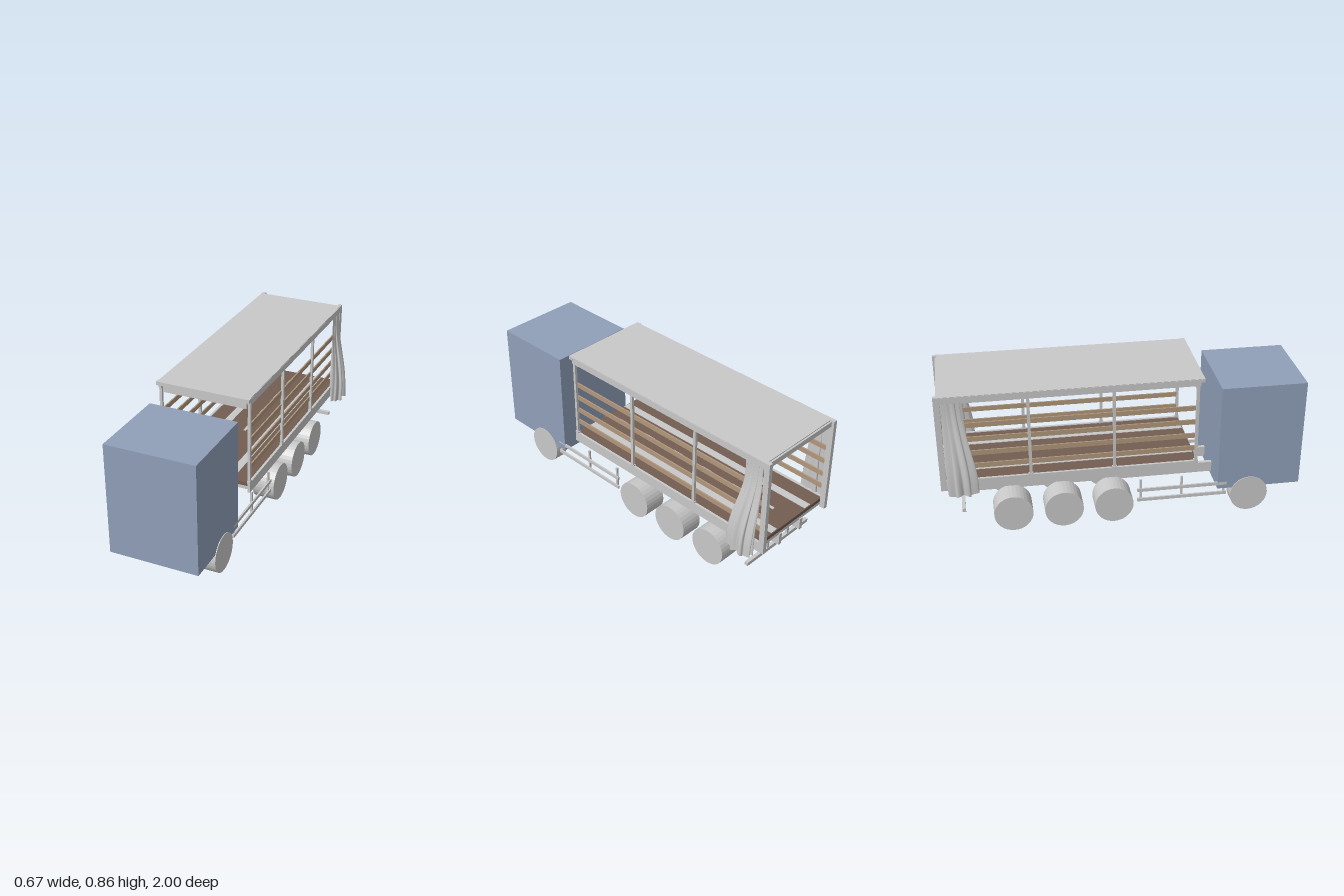
import * as THREE from 'three';

const mat = (name, color) => Object.assign(new THREE.MeshStandardMaterial({ color }), { name });

export function createModel() {
  const truck = new THREE.Group();
  truck.name = 'truck';
  const grey = mat('light grey', 0xc8c8c8);
  const blue = mat('cab blue', 0x8f9fb8);
  const brown = mat('floor brown', 0x735d50);
  const tan = mat('slat tan', 0xb0977c);
  const cloth = mat('curtain grey', 0xc9c9c9);
  cloth.side = THREE.DoubleSide;
  const wheelMat = mat('wheel grey', 0xc8c8c8);
  wheelMat.flatShading = true;

  const CX = -0.01; // centre line of the vehicle
  // Box given by its limits along each axis, x measured from the centre line
  const box = (name, m, x0, x1, y0, y1, z0, z1) => {
    const mesh = new THREE.Mesh(new THREE.BoxGeometry(x1 - x0, y1 - y0, z1 - z0), m);
    mesh.position.set(CX + (x0 + x1) / 2, (y0 + y1) / 2, (z0 + z1) / 2);
    mesh.name = name;
    truck.add(mesh);
    return mesh;
  };
  // The same box on both sides
  const pair = (name, m, x0, x1, ...rest) => {
    box(name + 'Left', m, x0, x1, ...rest);
    box(name + 'Right', m, -x1, -x0, ...rest);
  };

  // Cab
  box('cab', blue, -0.25, 0.25, 0.155, 0.783, 0.527, 1);

  // Wheels: narrow at the front, wide at the rear
  const wheel = (z, inner) => {
    for (const s of [-1, 1]) {
      const geo = new THREE.CylinderGeometry(0.108, 0.108, 0.254 - inner, 32);
      geo.rotateZ(Math.PI / 2);
      const mesh = new THREE.Mesh(geo, wheelMat);
      mesh.position.set(CX + s * (inner + 0.254) / 2, 0.109, z);
      mesh.name = 'wheel';
      truck.add(mesh);
    }
  };
  wheel(0.71, 0.178);
  for (const z of [-0.06, -0.34, -0.62]) wheel(z, 0.125);

  // Chassis rails
  pair('chassisRail', grey, 0.075, 0.096, 0.18, 0.24, -0.87, 0.53);
  pair('chassisUpperRail', grey, 0.075, 0.096, 0.24, 0.31, -0.97, 0.405);

  // Floor, its metal strips and centre dashes
  box('floor', brown, -0.25, 0.25, 0.335, 0.356, -0.97, 0.4);
  pair('floorStrip', grey, 0.115, 0.16, 0.354, 0.359, -0.965, 0.395);
  for (let i = 0; i < 6; i++) {
    const z = -0.85 + i * 0.22;
    box('floorDash', grey, -0.008, 0.008, 0.354, 0.359, z, z + 0.07);
  }

  // Cross beams below the floor and the coaming along its sides
  for (let i = 0; i < 13; i++) {
    const z = -0.955 + i * 0.111;
    box('crossBeam', grey, -0.25, 0.25, 0.305, 0.335, z - 0.008, z + 0.008);
  }
  pair('sideCoaming', grey, 0.25, 0.264, 0.3, 0.36, -0.985, 0.405);

  // Side posts and corner posts
  for (const z of [0.392, -0.06, -0.515]) {
    pair('sidePost', grey, 0.247, 0.262, 0.34, 0.83, z - 0.008, z + 0.008);
    pair('postFoot', grey, 0.247, 0.264, 0.35, 0.367, z - 0.013, z + 0.013);
  }
  pair('rearPost', grey, 0.241, 0.264, 0.3, 0.86, -1, -0.968);

  // Side slats
  for (const y of [0.435, 0.513, 0.597, 0.681])
    pair('sideSlat', tan, 0.243, 0.251, y - 0.014, y + 0.014, -0.97, 0.385);

  // Roof panel, edge rails, headers and the bars below it
  box('roof', grey, -0.262, 0.262, 0.852, 0.86, -0.975, 0.41);
  pair('roofRail', grey, 0.247, 0.264, 0.82, 0.858, -0.975, 0.405);
  box('frontHeader', grey, -0.24, 0.24, 0.793, 0.853, 0.385, 0.4);
  box('frontRoofLip', grey, -0.266, 0.266, 0.84, 0.86, 0.4, 0.426);
  box('rearHeader', grey, -0.245, 0.245, 0.825, 0.855, -0.985, -0.968);
  for (let i = 1; i < 9; i++) {
    const z = -0.97 + i * 0.152;
    box('roofBow', grey, -0.25, 0.25, 0.836, 0.853, z - 0.006, z + 0.006);
  }
  for (const x of [-0.125, 0, 0.125])
    box('roofStringer', grey, x - 0.005, x + 0.005, 0.84, 0.853, -0.97, 0.39);

  // Side guards
  pair('guardUpperRail', grey, 0.24, 0.25, 0.177, 0.196, 0.07, 0.58);
  pair('guardLowerRail', grey, 0.24, 0.25, 0.115, 0.134, 0.07, 0.58);
  for (const z of [0.565, 0.322, 0.09])
    pair('guardPost', grey, 0.232, 0.243, 0.118, z > 0.5 ? 0.19 : 0.25, z - 0.006, z + 0.006);

  // Rear underrun bar on two hangers
  box('rearBar', grey, -0.25, 0.25, 0.147, 0.168, -0.898, -0.878);
  pair('rearBarHanger', grey, 0.075, 0.09, 0.155, 0.26, -0.895, -0.883);

  // Gathered curtains: a folded tube that widens downwards
  const curtain = (name, side, reach) => {
    const rows = 16, cols = 72;
    const geo = new THREE.CylinderGeometry(1, 1, 1, cols, rows, true);
    const p = geo.attributes.position;
    for (let i = 0; i < p.count; i++) {
      const t = 0.5 - p.getY(i); // 0 at the top, 1 at the hem
      const a = Math.atan2(p.getX(i), p.getZ(i));
      const spread = THREE.MathUtils.smoothstep(t, 0.05, 0.9);
      const fold = 1 - 0.17 * (1 + Math.sin(8 * a + 2.2 * t)) - 0.07 * (1 + Math.sin(3 * a + 4 * t));
      const rx = 0.009 + reach * spread;
      const rz = 0.06 + 0.03 * spread;
      p.setXYZ(i,
        side * (0.252 + rx + Math.sin(a) * rx * fold),
        0.825 - 0.535 * t + 0.006 * t * Math.sin(5 * a),
        -0.908 + 0.025 * spread + Math.cos(a) * rz * fold);
    }
    geo.computeVertexNormals();
    const mesh = new THREE.Mesh(geo, cloth);
    mesh.position.x = CX;
    mesh.name = name;
    truck.add(mesh);
  };
  curtain('curtainLeft', 1, 0.04);
  curtain('curtainRight', -1, 0.03);

  return truck;
}
